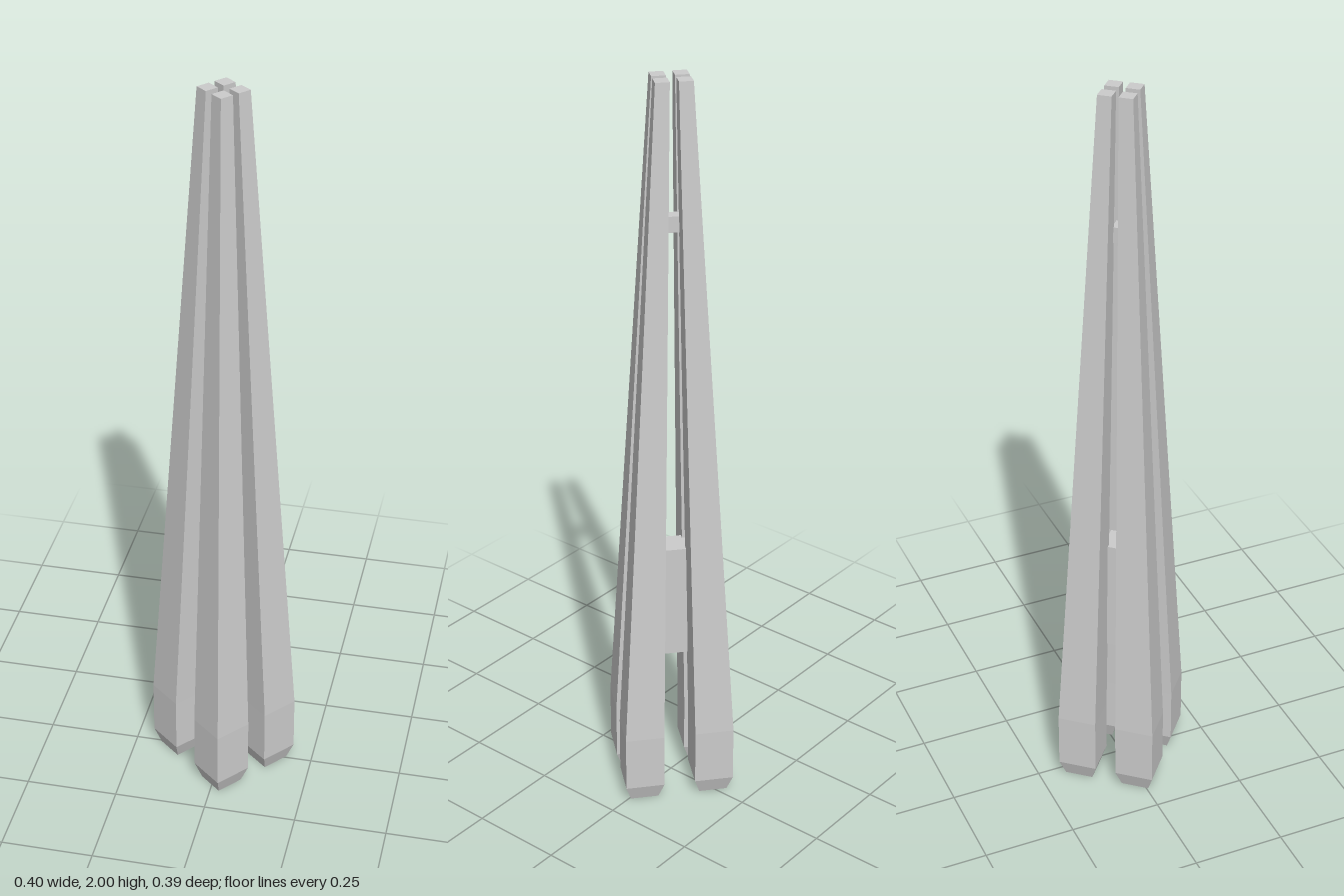
import * as THREE from 'three';

const material = new THREE.MeshStandardMaterial({ color: 0xcccccc, flatShading: true });

// Leg stations from bottom to top: height, half width, centre offset in x and z
const STATIONS = [
  [0, 0.038, 0.081, 0.095],
  [0.045, 0.0525, 0.081, 0.095],
  [0.2, 0.0525, 0.081, 0.095],
  [2, 0.0178, 0.0262, 0.0288],
];

// Square tapered leg leaning towards the centre, with a chamfered foot
function legGeometry(sx, sz) {
  const rows = STATIONS.length - 1;
  const g = new THREE.CylinderGeometry(Math.SQRT2, Math.SQRT2, rows, 4, rows, false, Math.PI / 4).toNonIndexed();
  const p = g.attributes.position;
  for (let i = 0; i < p.count; i++) {
    const [y, half, cx, cz] = STATIONS[Math.round(p.getY(i) + rows / 2)];
    p.setXYZ(i, sx * cx + p.getX(i) * half, y, sz * cz + p.getZ(i) * half);
  }
  g.computeVertexNormals();
  return g;
}

function add(group, name, geometry) {
  const mesh = new THREE.Mesh(geometry, material);
  mesh.name = name;
  group.add(mesh);
  return mesh;
}

export function createModel() {
  const model = new THREE.Group();
  model.name = 'fourLeggedTower';
  const tower = new THREE.Group();
  tower.name = 'tower';
  tower.rotation.y = 0.866;
  model.add(tower);

  // Four legs
  for (const sx of [-1, 1]) {
    for (const sz of [-1, 1]) {
      add(tower, `leg${sx > 0 ? 'Left' : 'Right'}${sz > 0 ? 'Front' : 'Back'}`, legGeometry(sx, sz));
    }
  }

  // Central blocks that tie the legs together
  add(tower, 'lowerBrace', new THREE.BoxGeometry(0.074, 0.32, 0.09)).position.y = 0.565;
  add(tower, 'upperBrace', new THREE.BoxGeometry(0.032, 0.042, 0.045)).position.y = 1.63;
  return model;
}
